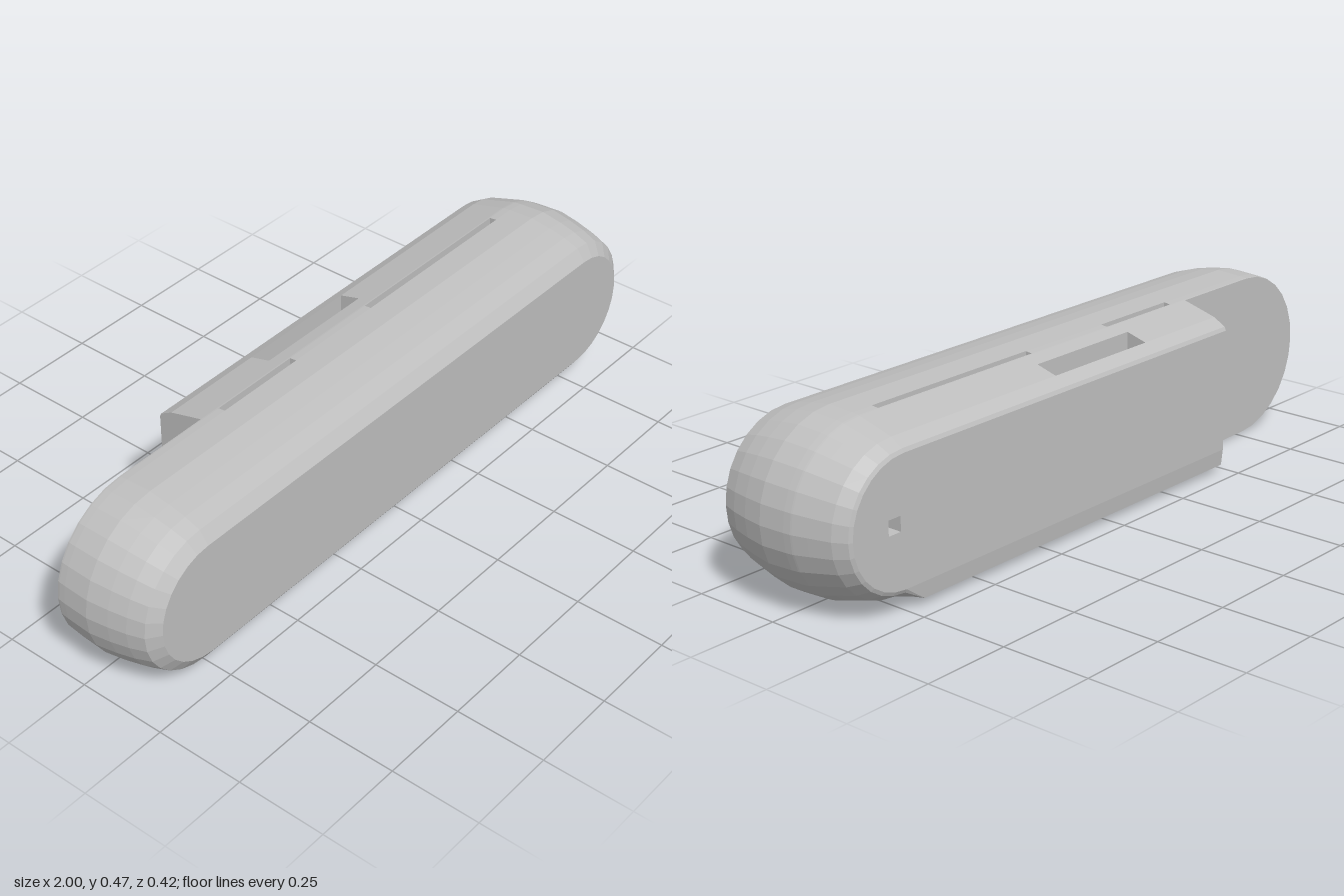
import * as THREE from 'three';

const casing = new THREE.MeshStandardMaterial({ color: 0xbfbfbf });
casing.name = 'casing grey';

const MID = 0.2355, HALF = 0.765, CUT = -0.48, LEDGE = -0.07;
// [z, inset] profile of the barrel, front to back
const PROFILE = [
  [0.21, 0.07], [0.185, 0.035], [0.14, 0.02], [0.09, 0.009], [0.03, 0], [-0.045, 0.004],
  [-0.065, 0.006], [LEDGE, 0.007], [-0.11, 0.018], [-0.17, 0.035], [-0.205, 0.055], [-0.21, 0.065],
];
const TOP_X = [HALF, 0.7, 0.18, 0.15, -0.15, -0.18, -0.42, CUT, -HALF];
const BOTTOM_X = [-HALF, CUT, -0.06, 0.06, 0.7, HALF];
// openings: x range, z range (back, front), depth
const TOP_SLOTS = [[0.15, 0.7, -0.065, -0.045, 0.03], [-0.42, -0.15, -0.065, -0.045, 0.03], [-0.18, 0.18, -0.17, -0.11, 0.09]];
const BOTTOM_SLOTS = [[-0.06, 0.06, -0.17, -0.11, 0.06]];

const insetAt = (z) => PROFILE.find((p) => Math.abs(p[0] - z) < 1e-4)[1];
const topY = (z) => MID * 2 - insetAt(z);
// the rear block has a fuller, flatter underside
const bottomY = (z, x = 0) => {
  const full = z <= LEDGE && z > -0.206 && x < 0.71 && x > -0.6;
  return insetAt(z) * (full ? 0.35 : 1);
};

// rounded-bar outline at depth z, counter-clockwise seen from the front
function ring(z, clip) {
  const r = MID - insetAt(z), pts = [];
  const arc = (side, start) => {
    for (let i = 1; i < 14; i++) {
      const a = start + (Math.PI * i) / 14;
      pts.push([side * HALF + r * Math.cos(a), MID + r * Math.sin(a)]);
    }
  };
  TOP_X.forEach((x) => pts.push([x, topY(z)]));
  arc(-1, Math.PI / 2);
  BOTTOM_X.forEach((x) => pts.push([x, bottomY(z, x)]));
  arc(1, -Math.PI / 2);
  return clip ? pts.map(([x, y]) => [Math.max(x, CUT), y]) : pts;
}

// skin between successive outlines, leaving the slots open
function skin(zs, clip) {
  const v = [];
  const inside = (slots, x, z) => slots.some((s) => x > s[0] && x < s[1] && z > s[2] && z < s[3]);
  for (let k = 0; k < zs.length - 1; k++) {
    const A = ring(zs[k], clip), B = ring(zs[k + 1], clip), zm = (zs[k] + zs[k + 1]) / 2;
    for (let i = 0; i < A.length; i++) {
      const j = (i + 1) % A.length, xm = (A[i][0] + A[j][0]) / 2;
      if (clip && A[i][0] <= CUT && A[j][0] <= CUT) continue;
      const isTop = A[i][1] > MID;
      if (Math.abs(xm) < HALF && inside(isTop ? TOP_SLOTS : BOTTOM_SLOTS, xm, zm)) continue;
      const a = [...A[i], zs[k]], b = [...B[i], zs[k + 1]], c = [...B[j], zs[k + 1]], d = [...A[j], zs[k]];
      v.push(...a, ...b, ...c, ...a, ...c, ...d);
    }
  }
  const g = new THREE.BufferGeometry();
  g.setAttribute('position', new THREE.Float32BufferAttribute(v, 3));
  g.computeVertexNormals();
  return g;
}

// turn faces the other way, with crisp normals
function flip(geo) {
  const idx = Array.from(geo.index.array);
  for (let i = 0; i < idx.length; i += 3) [idx[i], idx[i + 1]] = [idx[i + 1], idx[i]];
  geo.setIndex(idx);
  geo.computeVertexNormals();
  return geo;
}

// flat cap from outline points, optionally with rectangular hole [x0, x1, y0, y1]
function plate(pts, hole) {
  const clean = pts.filter((p, i) => {
    const q = pts[(i + 1) % pts.length];
    return Math.hypot(p[0] - q[0], p[1] - q[1]) > 1e-5;
  });
  const shape = new THREE.Shape(clean.map((p) => new THREE.Vector2(...p)));
  if (hole) {
    const [a, b, c, d] = hole;
    shape.holes.push(new THREE.Path([[a, c], [a, d], [b, d], [b, c]].map((p) => new THREE.Vector2(...p))));
  }
  return new THREE.ShapeGeometry(shape);
}

// inward-facing box without its opening face (box face order +x -x +y -y +z -z)
function pocket(min, max, open) {
  const s = max.map((m, i) => m - min[i]);
  const g = new THREE.BoxGeometry(...s);
  g.translate(...min.map((m, i) => m + s[i] / 2));
  const idx = Array.from(g.index.array);
  idx.splice(open * 6, 6);
  g.clearGroups();
  g.setIndex(idx);
  return flip(g);
}

// pocket whose rim follows the curved top or underside
function slotPocket([x0, x1, z0, z1, depth], top) {
  const rim = top ? topY : bottomY;
  const floor = top ? Math.min(topY(z0), topY(z1)) - depth : Math.max(bottomY(z0), bottomY(z1)) + depth;
  const g = pocket([x0, top ? floor : 0, z0], [x1, top ? 0.5 : floor, z1], top ? 2 : 3);
  const p = g.attributes.position;
  for (let i = 0; i < p.count; i++) {
    if (Math.abs(p.getY(i) - floor) > 1e-4) p.setY(i, rim(p.getZ(i) < (z0 + z1) / 2 ? z0 : z1));
  }
  g.computeVertexNormals();
  return g;
}

export function createModel() {
  const model = new THREE.Group();
  model.name = 'roundedDevice';
  const add = (name, geo) => {
    const m = new THREE.Mesh(geo, casing);
    m.name = name;
    model.add(m);
  };
  const zs = PROFILE.map((p) => p[0]);
  const split = zs.indexOf(LEDGE), back = zs[zs.length - 1];
  const rear = zs.slice(split);

  // main barrel and the shorter block behind it
  add('frontBody', skin(zs.slice(0, split + 1), false));
  add('rearBlock', skin(rear, true));

  // flat faces
  add('frontFace', plate(ring(zs[0], false)).translate(0, 0, zs[0]));
  add('ledgeFace', flip(plate(ring(LEDGE, false).filter((p) => p[0] <= CUT + 1e-6))).translate(0, 0, LEDGE));
  add('backFace', flip(plate(ring(back, true), [0.78, 0.82, 0.215, 0.255])).translate(0, 0, back));
  const wall = [...rear.map((z) => [z, topY(z)]), ...rear.slice().reverse().map((z) => [z, bottomY(z)])];
  add('endWall', plate(wall, [-0.155, -0.125, 0.15, 0.32]).rotateY(-Math.PI / 2).translate(CUT, 0, 0));

  // recesses
  TOP_SLOTS.forEach((s) => add('topSlot', slotPocket(s, true)));
  BOTTOM_SLOTS.forEach((s) => add('bottomSlot', slotPocket(s, false)));
  add('endPort', pocket([CUT, 0.15, -0.155], [CUT + 0.06, 0.32, -0.125], 1));
  add('backHole', pocket([0.78, 0.215, back], [0.82, 0.255, back + 0.05], 5));
  return model;
}
